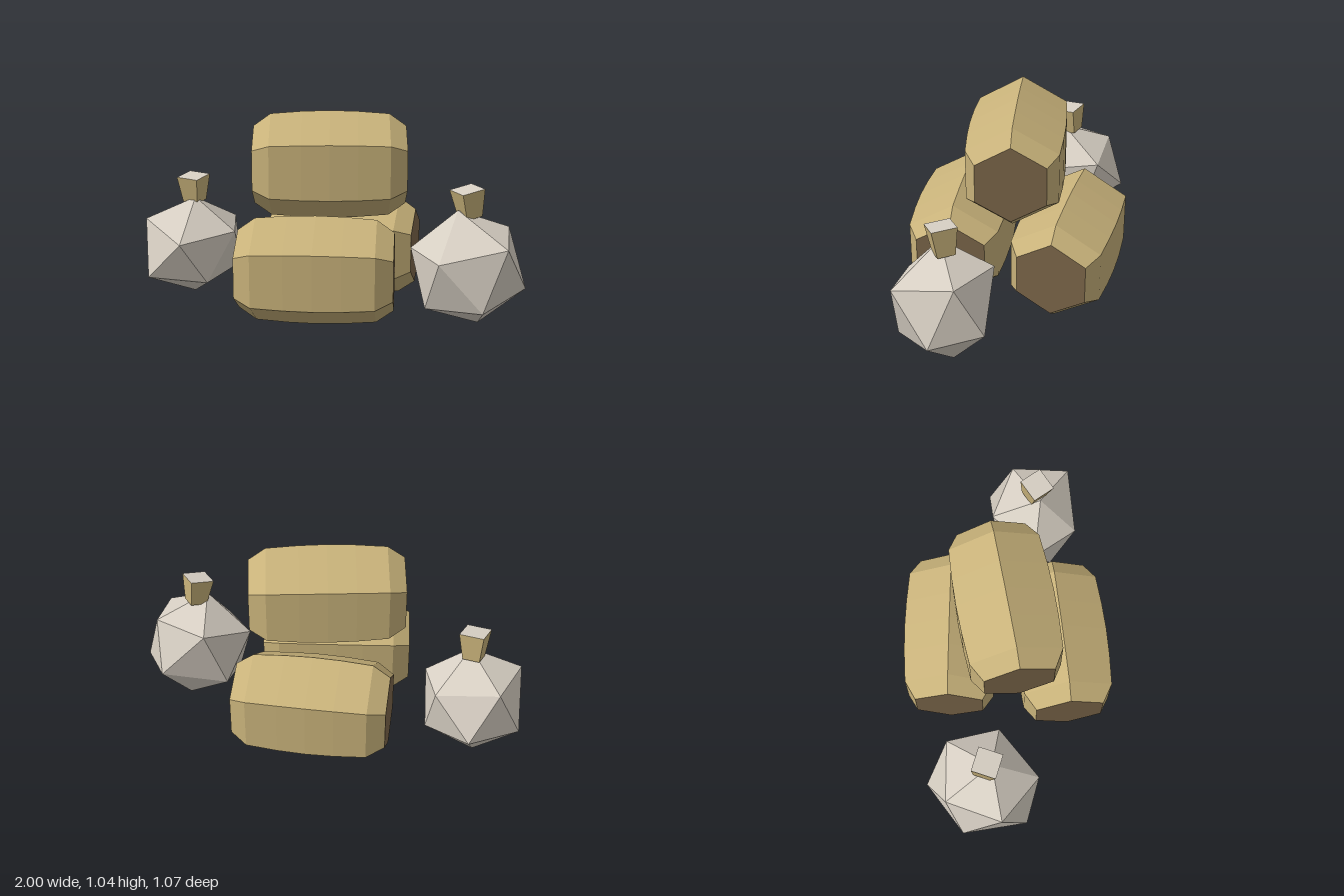
import * as THREE from 'three';
import { ConvexGeometry } from 'three/addons/geometries/ConvexGeometry.js';

const mat = (name, color) => {
  const m = new THREE.MeshStandardMaterial({ color, flatShading: true });
  m.name = name;
  return m;
};

export function createModel() {
  const straw = mat('straw', 0xc8b27a);
  const brown = mat('endBrown', 0x7c674a);
  const cloth = mat('sackCloth', 0xd8d0c4);
  const model = new THREE.Group();
  model.name = 'supplyPile';

  const add = (parent, name, geometry, material) => {
    const mesh = new THREE.Mesh(geometry, material);
    mesh.name = name;
    parent.add(mesh);
    return mesh;
  };

  // Six-sided bulging bale lying along x, with brown ends
  const half = 0.387, endRadius = 0.2;
  const profile = [[endRadius, -half], [0.262, -0.3], [0.274, -0.14], [0.278, 0],
    [0.274, 0.14], [0.262, 0.3], [endRadius, half]].map(p => new THREE.Vector2(...p));
  const sideGeo = new THREE.LatheGeometry(profile, 6, Math.PI / 6).rotateZ(-Math.PI / 2);

  function addBale(name, x, y, z, yaw) {
    const bale = new THREE.Group();
    bale.name = name;
    add(bale, 'baleSide', sideGeo, straw);
    for (const s of [-1, 1]) {
      const end = new THREE.CircleGeometry(endRadius, 6, Math.PI / 2);
      end.rotateY(s * Math.PI / 2).translate(s * half, 0, 0);
      add(bale, s > 0 ? 'leftEnd' : 'rightEnd', end, brown);
    }
    bale.position.set(x, y, z);
    bale.rotation.y = yaw;
    model.add(bale);
  }
  addBale('frontBale', -0.03, 0.288, 0.287, 0.06);
  addBale('backBale', 0.04, 0.288, -0.287, -0.065);
  addBale('topBale', 0, 0.767, -0.003, 0.13);

  // Faceted sack body with a flared four-sided neck
  function addSack(name, corners, neckPos, turn, tiltX, tiltZ) {
    const sack = new THREE.Group();
    sack.name = name;
    const points = corners.map(c => new THREE.Vector3(...c));
    add(sack, 'sackBody', new ConvexGeometry(points), cloth);
    const neckGeo = new THREE.CylinderGeometry(0.089, 0.062, 0.14, 4).rotateY(turn);
    const neck = add(sack, 'sackNeck', neckGeo, [straw, cloth, straw]);
    neck.position.set(...neckPos);
    neck.rotation.set(tiltX, 0, tiltZ);
    model.add(sack);
  }
  addSack('leftSack', [
    [0.66, 0.6, 0.22], [0.77, 0.005, 0.14], [1, 0.21, 0.197], [0.43, 0.394, 0.18],
    [0.912, 0.495, 0.088], [0.51, 0.11, 0.277], [0.64, 0.475, -0.035], [0.794, 0.133, 0.404],
    [0.875, 0.238, -0.043], [0.58, 0.37, 0.41], [0.906, 0.45, 0.39], [0.54, 0.16, 0.03],
  ], [0.71, 0.632, 0.194], -0.2, 0.12, 0.12);
  addSack('rightSack', [
    [-0.737, 0.553, -0.106], [-0.778, 0.003, -0.21], [-0.767, 0.345, 0.13], [-0.745, 0.211, -0.447],
    [-0.516, 0.382, -0.06], [-1, 0.174, -0.27], [-0.65, 0.12, 0.03], [-0.885, 0.436, -0.345],
    [-0.96, 0.147, 0.06], [-0.57, 0.409, -0.33], [-1, 0.436, -0.07], [-0.527, 0.163, -0.25],
  ], [-0.751, 0.595, -0.137], 0.44, 0.12, 0);

  return model;
}
